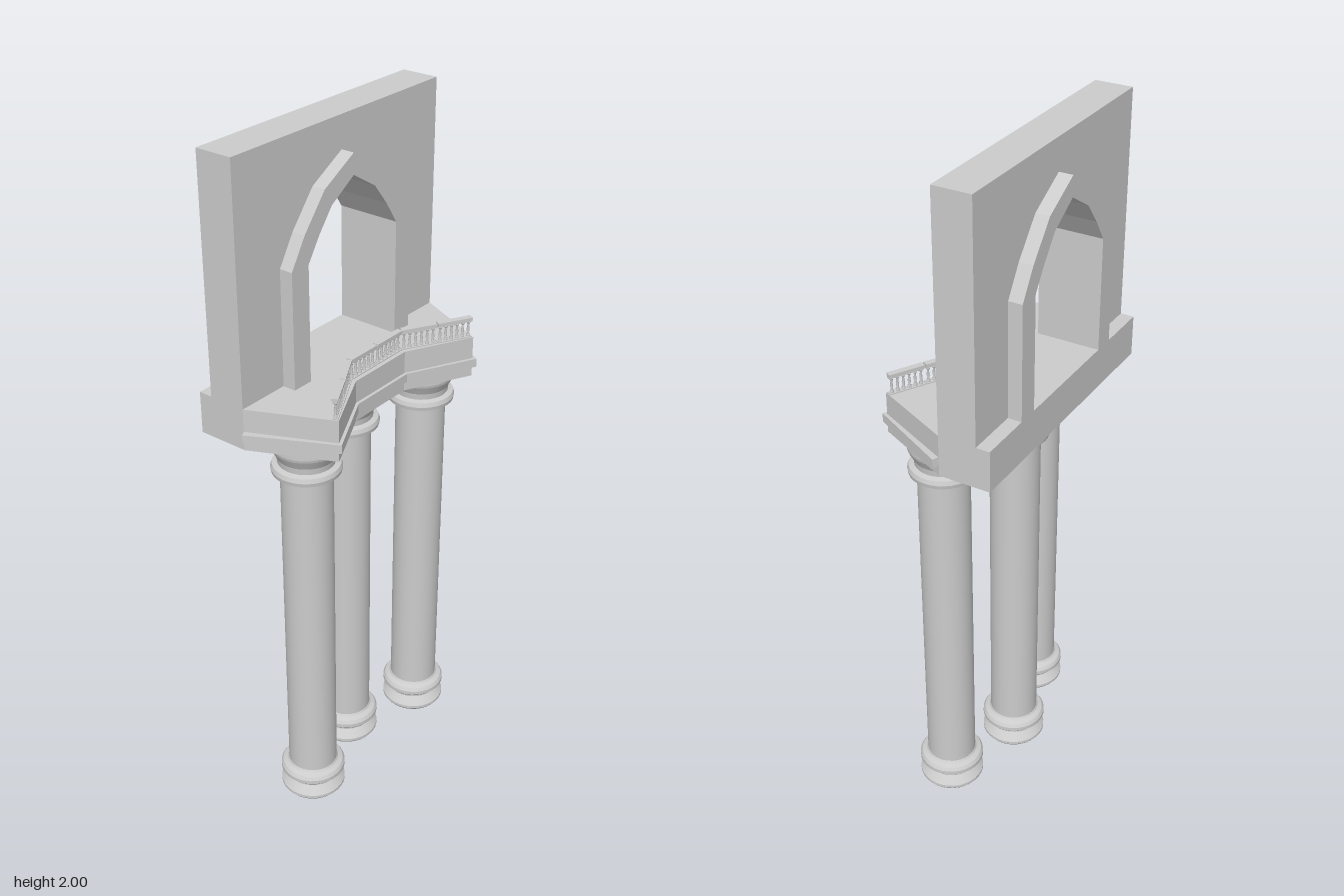
import * as THREE from 'three';

const mat = new THREE.MeshStandardMaterial({ color: 0xcccccc });
const V = (x, y) => new THREE.Vector2(x, y);

export function createModel() {
  const model = new THREE.Group();
  const add = (geometry, name, parent = model) => {
    const mesh = new THREE.Mesh(geometry, mat);
    mesh.name = name;
    parent.add(mesh);
    return mesh;
  };

  // Mirrors a right-hand outline to the left: returns a full closed loop
  const mirrored = (half) => [
    ...half.map(([x, y]) => V(x, y)),
    ...half.slice().reverse().filter(([x]) => x > 0).map(([x, y]) => V(-x, y)),
  ];
  // Extrudes a plan outline (x, z) between two heights
  const planSlab = (half, y0, y1) =>
    new THREE.ExtrudeGeometry(new THREE.Shape(mirrored(half)), { depth: y1 - y0, bevelEnabled: false })
      .rotateX(Math.PI / 2).translate(0, y1, 0);
  // Extrudes an elevation outline (x, y) between two depths
  const elevation = (points, z0, z1) =>
    new THREE.ExtrudeGeometry(new THREE.Shape(points), { depth: z1 - z0, bevelEnabled: false })
      .translate(0, 0, z0);

  // Balcony platform with a projecting string course
  add(planSlab([[0.403, -0.194], [0.403, -0.045], [0.296, 0.182], [0.107, 0.086]], 1.22, 1.34), 'platform');
  add(planSlab([[0.402, -0.045], [0.419, -0.036], [0.3, 0.194], [0.107, 0.095]], 1.25, 1.275), 'platformMoulding');

  // Wall with pointed opening and its deeper surround
  const floor = 1.34;
  const outer = [[0.245, floor], [0.245, 1.67], [0.194, 1.752], [0.115, 1.847], [0, 1.91]];
  const inner = [[0.181, floor], [0.181, 1.67], [0.138, 1.735], [0.088, 1.798], [0, 1.852]];
  const wallPoints = [
    V(0.403, floor), V(0.403, 2), V(-0.403, 2), V(-0.403, floor),
    ...mirrored(outer).reverse(),
  ];
  add(elevation(wallPoints, -0.154, -0.045), 'wall');
  add(elevation([...mirrored(outer), ...mirrored(inner).reverse()], -0.194, -0.006), 'archSurround');

  // Columns: base, shaft and capital in one profile, split at sharp edges
  const profile = [
    [0, 0], [0.09, 0], [0.096, 0.008], [0.096, 0.017], [0.076, 0.042], [0.076, 0.056],
    [0.09, 0.059], [0.096, 0.066], [0.096, 0.078], [0.09, 0.088], [0.076, 0.094],
    [0.072, 0.1], [0.072, 1.115], [0.078, 1.12], [0.095, 1.125], [0.097, 1.136],
    [0.093, 1.148], [0.078, 1.152], [0.08, 1.17], [0.094, 1.197], [0.096, 1.205], [0.096, 1.22],
  ];
  const columnParts = profile.slice(1).map((p, i) =>
    new THREE.LatheGeometry([V(...profile[i]), V(...p)], 32));
  for (const [x, z, name] of [[-0.255, 0.037, 'rightColumn'], [0, -0.037, 'middleColumn'], [0.255, 0.037, 'leftColumn']]) {
    const column = new THREE.Group();
    column.name = name;
    column.position.set(x, 0, z);
    columnParts.forEach((g) => add(g, 'columnSection', column));
    model.add(column);
  }

  // Balustrade: six short panels of turned balusters following the front edge
  const balusterGeo = new THREE.LatheGeometry(
    [[0.0055, 0], [0.0055, 0.006], [0.003, 0.009], [0.0045, 0.02], [0.0025, 0.034], [0.006, 0.042]].map((p) => V(...p)), 8);
  const path = [[-0.3, 0.172], [-0.206, 0.12], [-0.112, 0.068], [0, 0.066], [0.112, 0.068], [0.206, 0.12], [0.3, 0.172]];
  path[2][1] = path[4][1] = 0.066;
  for (let i = 0; i < path.length - 1; i++) {
    const [ax, az] = path[i], [bx, bz] = path[i + 1];
    const length = Math.hypot(bx - ax, bz - az) - 0.004;
    const panel = new THREE.Group();
    panel.name = 'balustradePanel';
    panel.position.set((ax + bx) / 2, floor, (az + bz) / 2);
    panel.rotation.y = -Math.atan2(bz - az, bx - ax);
    add(new THREE.BoxGeometry(length, 0.012, 0.013), 'handrail', panel).position.y = 0.053;
    add(new THREE.BoxGeometry(length, 0.006, 0.018), 'handrailCap', panel).position.y = 0.057;
    add(new THREE.BoxGeometry(length, 0.003, 0.016), 'footRail', panel).position.y = 0.0015;
    const count = 6;
    for (let k = 0; k < count; k++) {
      const baluster = add(balusterGeo, 'baluster', panel);
      baluster.position.set(((k + 0.5) / count - 0.5) * length, 0.003, 0);
    }
    model.add(panel);
  }

  return model;
}
